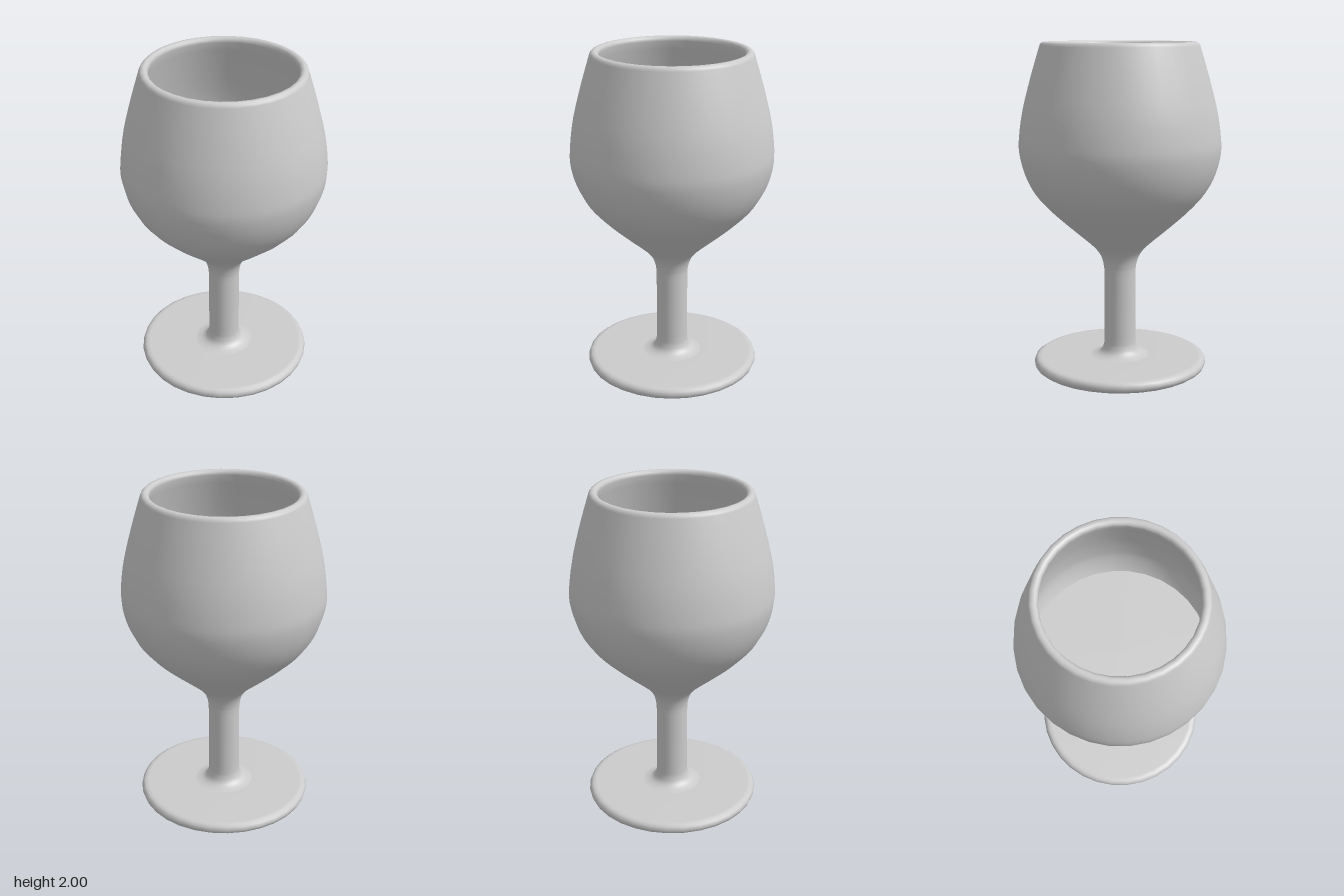
import * as THREE from 'three';

const SEGMENTS = 32;
const material = new THREE.MeshStandardMaterial({ color: 0xcccccc });

const toPoints = (pairs) => pairs.map(([r, y]) => new THREE.Vector2(r, y));
const smooth = (pairs, count) => new THREE.SplineCurve(toPoints(pairs)).getPoints(count);

// Revolves a profile of radius/height points around the y axis
function turned(name, points) {
  const mesh = new THREE.Mesh(new THREE.LatheGeometry(points, SEGMENTS), material);
  mesh.name = name;
  return mesh;
}

export function createModel() {
  const glass = new THREE.Group();
  glass.name = 'goblet';

  // Flat round foot with a softened edge
  glass.add(turned('foot', toPoints([
    [0, 0], [0.49, 0], [0.51, 0.002], [0.528, 0.015], [0.535, 0.035],
    [0.528, 0.056], [0.512, 0.067], [0.49, 0.07], [0.17, 0.07],
  ])));

  // Straight stem, flaring into the foot and the bowl
  glass.add(turned('stem', [
    ...smooth([[0.18, 0.07], [0.14, 0.08], [0.11, 0.105], [0.097, 0.15]], 8),
    ...toPoints([[0.096, 0.2], [0.096, 0.58]]),
    ...smooth([[0.097, 0.62], [0.106, 0.67], [0.125, 0.715], [0.155, 0.755]], 8),
  ]));

  // Bowl wall: outside, rounded rim, then the inside down to its base
  const outside = smooth([
    [0.155, 0.755], [0.21, 0.805], [0.315, 0.895], [0.43, 1.0], [0.52, 1.105],
    [0.578, 1.22], [0.607, 1.34], [0.606, 1.44], [0.582, 1.6], [0.53, 1.8], [0.477, 1.975],
  ], 30);
  const rim = toPoints([[0.473, 1.987], [0.463, 1.997], [0.45, 2], [0.438, 1.998], [0.427, 1.988]]);
  const inside = smooth([
    [0.424, 1.97], [0.475, 1.8], [0.527, 1.6], [0.551, 1.44], [0.552, 1.34],
    [0.523, 1.22], [0.465, 1.12], [0.37, 1.02], [0.2, 0.9], [0, 0.86],
  ], 24);
  glass.add(turned('bowl', [...outside, ...rim, ...inside]));

  // Level drink surface inside the bowl
  const drink = new THREE.Mesh(new THREE.CircleGeometry(0.53, SEGMENTS), material);
  drink.name = 'drinkSurface';
  drink.rotation.x = -Math.PI / 2;
  drink.position.y = 1.22;
  glass.add(drink);

  return glass;
}
